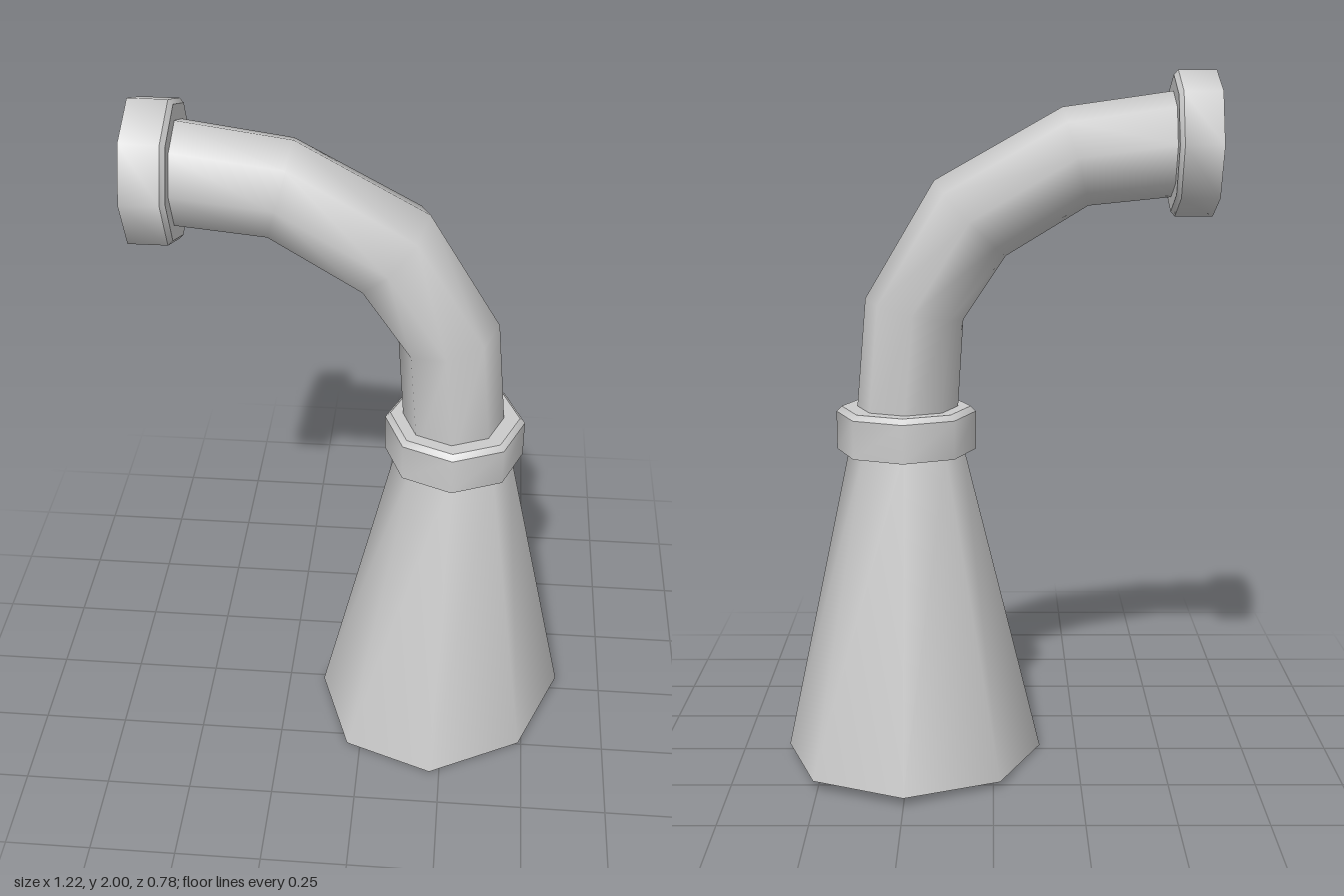
import * as THREE from 'three';

const SIDES = 8;
const V = (x, y, z) => new THREE.Vector3(x, y, z);
// A ring is a centre with two half-axes; u x v points along the loft.
const ring = (c, u, v) => ({ c, u, v });
const flatRing = (x, y, r) => ring(V(x, y, -0.015), V(r, 0, 0), V(0, 0, -r));
const sideRing = (x, y, r) => ring(V(x, y, -0.015), V(0, r, 0), V(0, 0, -r));
const point = (g) => ring(g.c, V(0, 0, 0), V(0, 0, 0));

// Each band is a run of rings shaded smoothly; edges between bands stay sharp.
function loft(name, bands) {
  const pos = [], index = [];
  for (const band of bands) {
    const start = pos.length / 3;
    for (const { c, u, v } of band) {
      for (let i = 0; i < SIDES; i++) {
        const a = (i / SIDES) * Math.PI * 2;
        pos.push(...c.clone().addScaledVector(u, Math.cos(a)).addScaledVector(v, Math.sin(a)).toArray());
      }
    }
    for (let j = 0; j < band.length - 1; j++) {
      for (let i = 0; i < SIDES; i++) {
        const k = (i + 1) % SIDES, a = start + j * SIDES, b = a + SIDES;
        index.push(a + i, a + k, b + k, a + i, b + k, b + i);
      }
    }
  }
  const geo = new THREE.BufferGeometry();
  geo.setAttribute('position', new THREE.Float32BufferAttribute(pos, 3));
  geo.setIndex(index);
  geo.computeVertexNormals();
  const mesh = new THREE.Mesh(geo, new THREE.MeshStandardMaterial({ color: 0xcccccc }));
  mesh.name = name;
  return mesh;
}

// Solid disc with a bevelled rim: one band per face, from three rings.
const disc = (name, rings) => loft(name, [
  [point(rings[0]), rings[0]],
  ...rings.slice(1).map((r, i) => [rings[i], r]),
  [rings[rings.length - 1], point(rings[rings.length - 1])],
]);

export function createModel() {
  const group = new THREE.Group();

  // Flared head, its closed mouth tilted slightly
  const mouth = ring(V(0.235, 0.016, -0.002), V(0.375, 0.011, -0.02), V(0.015, 0.011, -0.39));
  const neck = flatRing(0.25, 0.95, 0.162);
  group.add(loft('flaredHead', [[point(mouth), mouth], [mouth, neck]]));

  // Collar between head and pipe
  group.add(disc('collar', [
    flatRing(0.25, 0.935, 0.2), flatRing(0.25, 1.045, 0.2), flatRing(0.25, 1.06, 0.185),
  ]));

  // Bent pipe: inner point, outer point and half depth of each ring
  const bends = [
    [0.105, 1.0, 0.395, 1.0, 0.145],
    [0.085, 1.31, 0.362, 1.37, 0.147],
    [-0.035, 1.49, 0.165, 1.7, 0.154],
    [-0.265, 1.63, -0.19, 1.9, 0.139],
    [-0.51, 1.655, -0.51, 1.945, 0.145],
  ];
  group.add(loft('bentPipe', [bends.map(([ix, iy, ox, oy, r]) => ring(
    V((ix + ox) / 2, (iy + oy) / 2, -0.015),
    V((ox - ix) / 2, (oy - iy) / 2, 0),
    V(0, 0, -r),
  ))]));

  // Wall flange, bevelled on the pipe side
  group.add(disc('wallFlange', [
    sideRing(-0.495, 1.8, 0.187), sideRing(-0.507, 1.8, 0.2), sideRing(-0.613, 1.8, 0.2),
  ]));
  return group;
}
